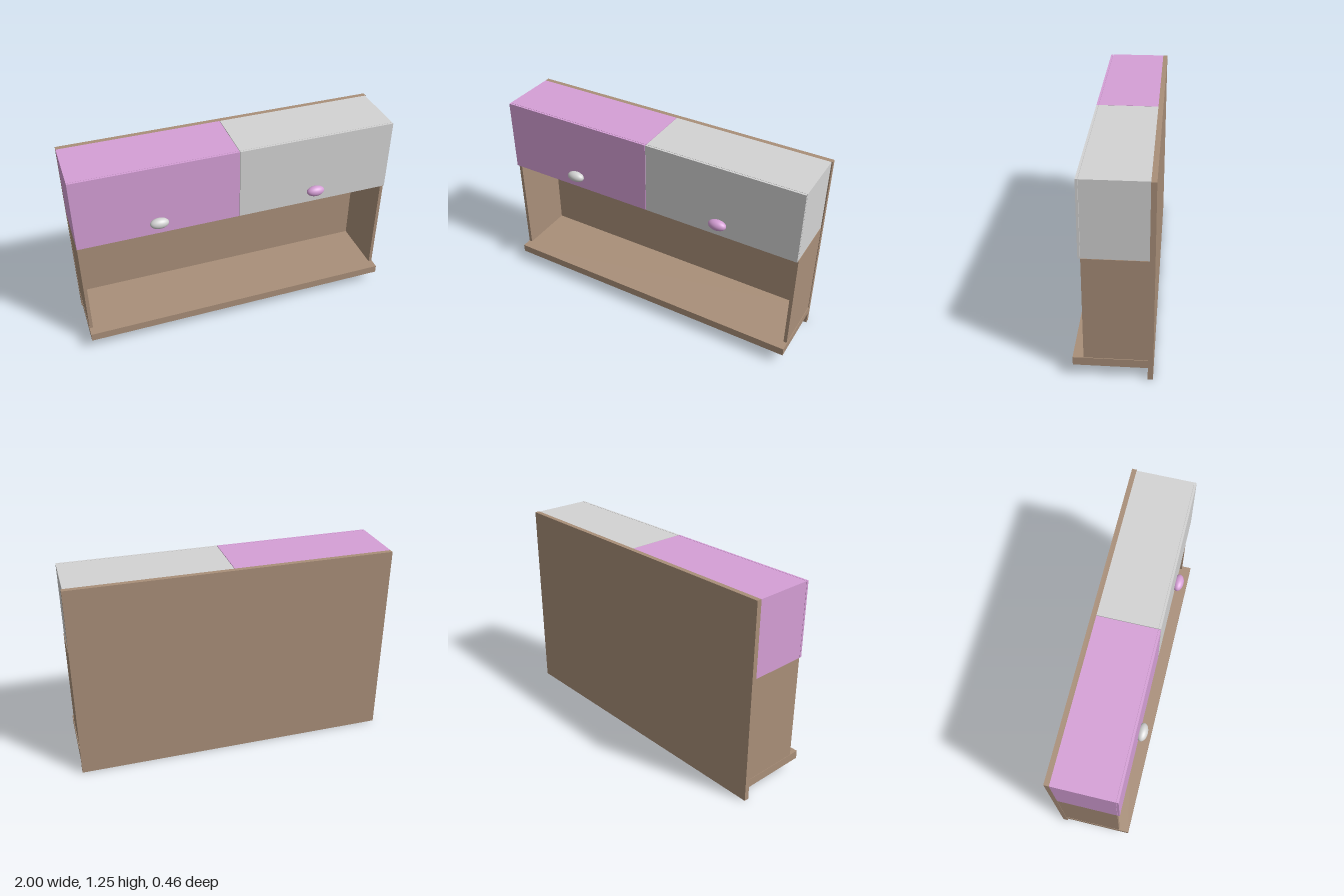
import * as THREE from 'three';

const mat = (name, color) => {
  const m = new THREE.MeshStandardMaterial({ color });
  m.name = name;
  return m;
};

export function createModel() {
  const wood = mat('brown wood', 0xa98f79);
  const plum = mat('plum', 0xd59fd6);
  const grey = mat('light grey', 0xd3d3d3);

  const model = new THREE.Group();
  model.name = 'wallCabinet';

  // Box given by its extents on each axis
  const board = (name, material, [x0, x1], [y0, y1], [z0, z1], parent = model) => {
    const mesh = new THREE.Mesh(new THREE.BoxGeometry(x1 - x0, y1 - y0, z1 - z0), material);
    mesh.position.set((x0 + x1) / 2, (y0 + y1) / 2, (z0 + z1) / 2);
    mesh.name = name;
    parent.add(mesh);
  };

  // Wooden frame: back, shelf and two uprights
  board('backPanel', wood, [-1, 1], [0, 1.253], [-0.228, -0.198]);
  board('shelf', wood, [-1, 1], [0.083, 0.135], [-0.198, 0.225]);
  board('rightUpright', wood, [-0.998, -0.977], [0.135, 0.792], [-0.198, 0.163]);
  board('leftUpright', wood, [0.975, 0.996], [0.135, 0.792], [-0.198, 0.163]);

  // Two cupboards, each with a door and a knob in the other's colour
  const cupboards = [
    ['rightCupboard', plum, grey, [-1, 0], -0.505],
    ['leftCupboard', grey, plum, [0.003, 0.993], 0.495],
  ];
  for (const [name, colour, knobColour, xs, knobX] of cupboards) {
    const cupboard = new THREE.Group();
    cupboard.name = name;
    board('body', colour, xs, [0.792, 1.253], [-0.198, 0.163], cupboard);
    board('door', colour, xs, [0.792, 1.253], [0.165, 0.178], cupboard);

    const knob = new THREE.Mesh(new THREE.SphereGeometry(1, 32, 20), knobColour);
    knob.name = 'knob';
    knob.scale.set(0.057, 0.033, 0.033);
    knob.position.set(knobX, 0.877, 0.195);
    cupboard.add(knob);
    model.add(cupboard);
  }
  return model;
}
